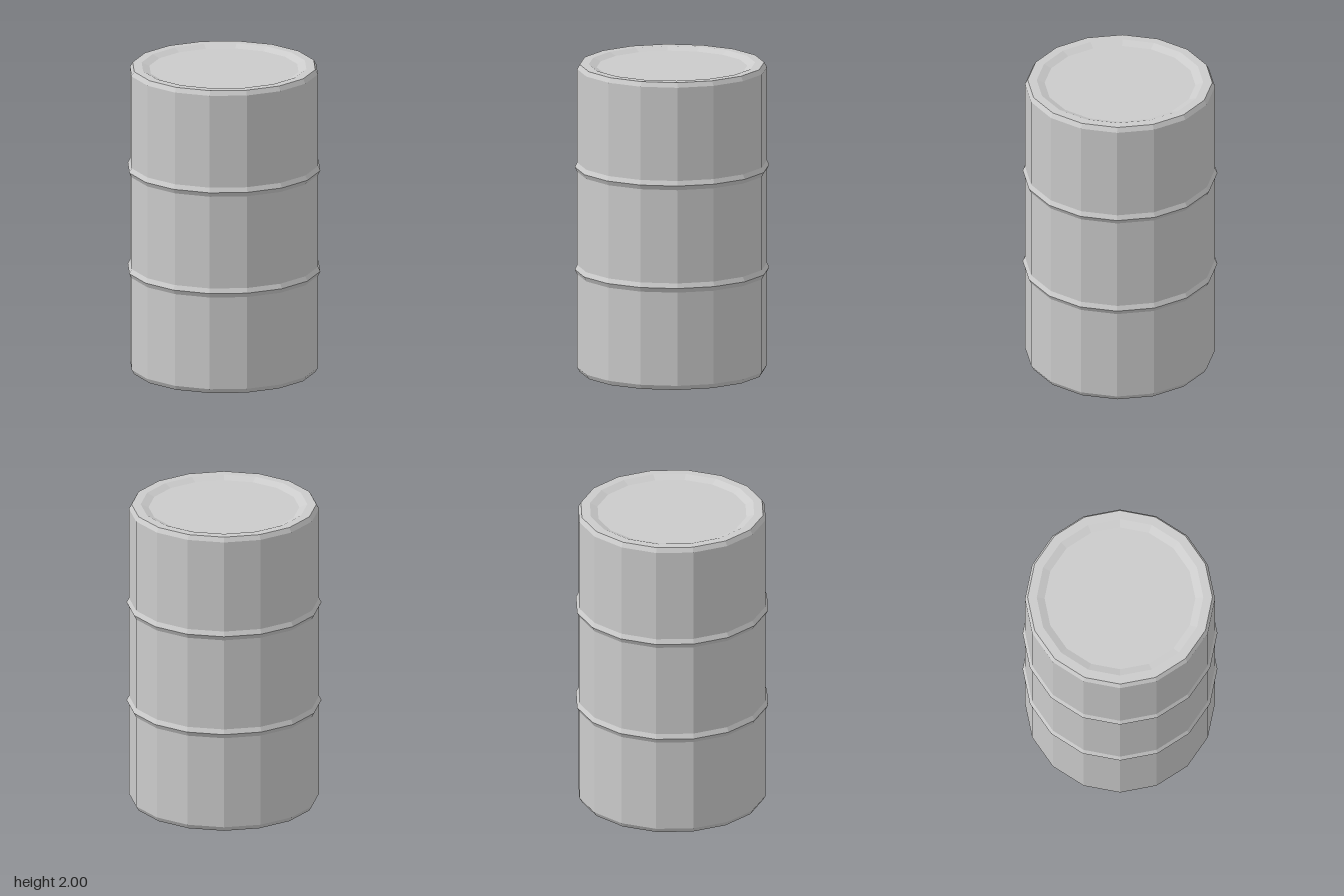
import * as THREE from 'three';

const SIDES = 16;
const BODY_R = 0.605, RIB_R = 0.62, RIM_R = 0.588, BEVEL = 0.03;

// Revolves [radius, height] pairs, listed from bottom to top, into a faceted part
function lathePart(name, profile, material) {
  const points = profile.map(([r, y]) => new THREE.Vector2(r, y));
  const mesh = new THREE.Mesh(new THREE.LatheGeometry(points, SIDES), material);
  mesh.name = name;
  return mesh;
}

export function createModel() {
  const group = new THREE.Group();
  group.name = 'barrel';
  const metal = new THREE.MeshStandardMaterial({ color: 0xcccccc, flatShading: true });

  // Wall with bevelled ends and two raised hoops
  const wall = [[RIM_R, 0], [BODY_R, BEVEL]];
  for (const y of [2 / 3, 4 / 3]) {
    wall.push([BODY_R, y - 0.03], [RIB_R, y], [BODY_R, y + 0.03]);
  }
  wall.push([BODY_R, 2 - BEVEL], [RIM_R, 2]);
  group.add(lathePart('wall', wall, metal));

  // Lid with a shallow sloped recess
  group.add(lathePart('lid', [[RIM_R, 2], [0.53, 2], [0.48, 1.98], [0, 1.98]], metal));

  // Flat base
  group.add(lathePart('base', [[0, 0], [RIM_R, 0]], metal));

  return group;
}
